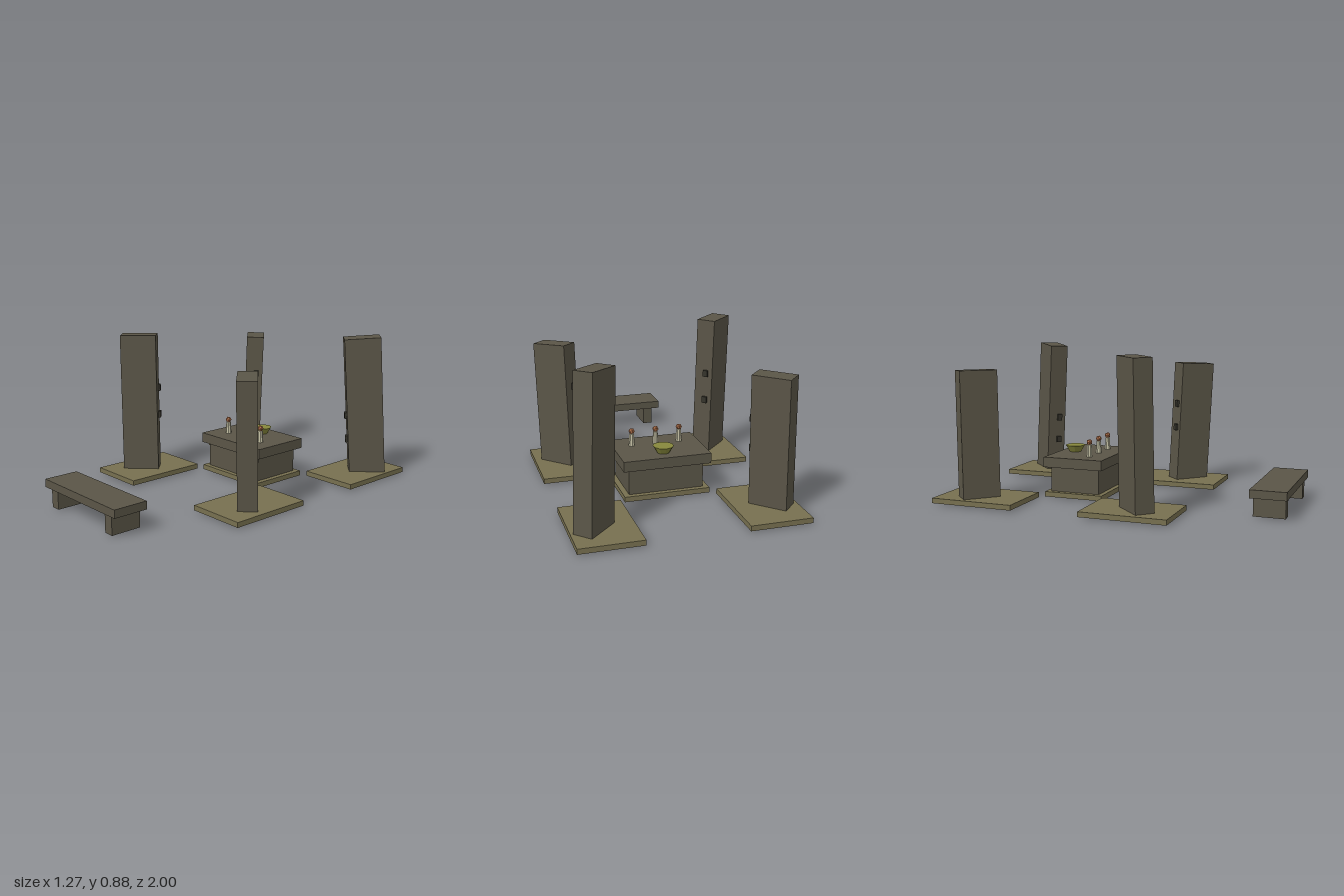
import * as THREE from 'three';

const mat = (name, color) => {
  const m = new THREE.MeshStandardMaterial({ color, flatShading: true });
  m.name = name;
  return m;
};

export function createModel() {
  const stone = mat('stone', 0x5a5547);
  const slab = mat('mossy paving', 0x777050);
  const dark = mat('dark carving', 0x35332b);
  const ivory = mat('ivory', 0xc4c0a4);
  const clay = mat('clay', 0xb0704a);
  const olive = mat('olive bowl', 0x87883c);

  const model = new THREE.Group();
  const add = (name, geo, material, x, y, z, parent = model) => {
    const m = new THREE.Mesh(geo, material);
    m.name = name;
    m.position.set(x, y, z);
    parent.add(m);
    return m;
  };
  // Box given by its centre in x and z, and its bottom and top heights
  const block = (name, material, w, d, y0, y1, x, z) =>
    add(name, new THREE.BoxGeometry(w, y1 - y0, d), material, x, (y0 + y1) / 2, z);

  // Leaning standing stones: foot and top centres, and heights of the carvings
  const stones = [
    { side: [-1, 1], foot: [-0.485, 0.007, 0.207], top: [-0.503, 0.88, 0.2], marks: [0.54, 0.37] },
    { side: [1, 1], foot: [0.478, 0.009, 0.203], top: [0.498, 0.777, 0.235], marks: [0.51, 0.36] },
    { side: [1, -1], foot: [0.505, 0.012, -0.8], top: [0.475, 0.879, -0.743], marks: [0.39, 0.24] },
    { side: [-1, -1], foot: [-0.497, 0.008, -0.765], top: [-0.48, 0.777, -0.78], marks: [0.52, 0.35] },
  ];
  const up = new THREE.Vector3(0, 1, 0);
  for (const { side: [sx, sz], foot, top, marks } of stones) {
    block('stonePad', slab, 0.355, 0.51, 0.01, 0.04, sx * 0.46, sz > 0 ? 0.175 : -0.745);

    const axis = new THREE.Vector3(...top).sub(new THREE.Vector3(...foot));
    const h = axis.length();
    const pillar = new THREE.Group();
    pillar.name = 'standingStone';
    pillar.position.set(...foot);
    // Narrow end (+x of the pillar) is turned towards the middle
    const yaw = new THREE.Quaternion().setFromAxisAngle(up, Math.atan2(sz, -sx));
    pillar.quaternion.setFromUnitVectors(up, axis.normalize()).multiply(yaw);
    add('pillar', new THREE.BoxGeometry(0.218, h, 0.113), stone, 0, h / 2, 0, pillar);
    for (const y of marks)
      add('carving', new THREE.BoxGeometry(0.03, 0.04, 0.03), dark, 0.109, y, -0.015, pillar);
    model.add(pillar);
  }

  // Altar
  block('altarPad', slab, 0.5, 0.365, 0.01, 0.04, 0, -0.283);
  block('altarBody', stone, 0.437, 0.306, 0.011, 0.19, 0, -0.283);
  block('altarTop', stone, 0.512, 0.37, 0.19, 0.25, 0, -0.283);

  // Offering bowl
  add('bowl', new THREE.CylinderGeometry(0.06, 0.036, 0.04, 10), olive, 0, 0.27, -0.375);

  // Three small figures
  for (const x of [-0.143, 0, 0.143]) {
    add('figureBody', new THREE.CylinderGeometry(0.014, 0.018, 0.072, 8), ivory, x, 0.286, -0.22);
    add('figureHead', new THREE.IcosahedronGeometry(0.019, 0), clay, x, 0.337, -0.22);
  }

  // Bench
  block('benchSeat', stone, 0.666, 0.206, 0.12, 0.167, 0, 0.897);
  for (const s of [-1, 1])
    block('benchLeg', stone, 0.06, 0.18, 0.01, 0.12, s * 0.257, 0.897);

  return model;
}
